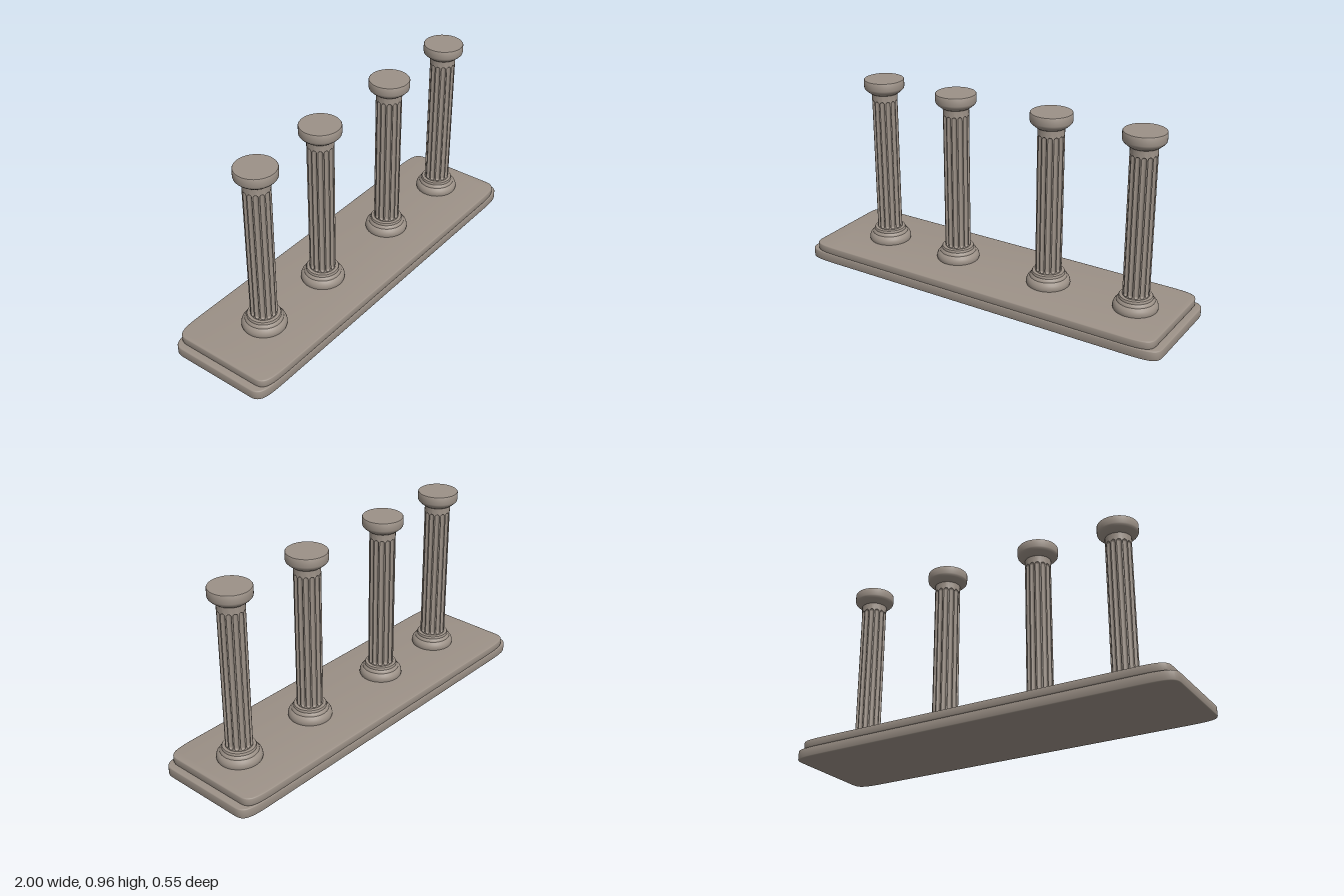
import * as THREE from 'three';
import { toCreasedNormals } from 'three/addons/utils/BufferGeometryUtils.js';

const stone = new THREE.MeshStandardMaterial({ color: 0x9c9187 });
stone.name = 'stone';

// Creases are found at a larger scale because vertices are matched on a coarse grid
function crease(geometry, angle = 0.6) {
  geometry.scale(100, 100, 100);
  return toCreasedNormals(geometry, angle).scale(0.01, 0.01, 0.01);
}

function part(name, geometry) {
  const mesh = new THREE.Mesh(geometry, stone);
  mesh.name = name;
  return mesh;
}

function lathe(points) {
  return crease(new THREE.LatheGeometry(points.map(([r, y]) => new THREE.Vector2(r, y)), 48));
}

// Slab with long soft corners and slightly eased edges
function slab(hx, hz, y0, y1) {
  const b = 0.005, x = hx - b, z = hz - b;
  const run = 0.17, cut = 0.06;
  const s = new THREE.Shape();
  s.moveTo(x, -z + cut);
  s.lineTo(x, z - cut);
  s.bezierCurveTo(x, z - 0.005, x - 0.04, z, x - run, z);
  s.lineTo(-x + run, z);
  s.bezierCurveTo(-x + 0.04, z, -x, z - 0.005, -x, z - cut);
  s.lineTo(-x, -z + cut);
  s.bezierCurveTo(-x, -z + 0.005, -x + 0.04, -z, -x + run, -z);
  s.lineTo(x - run, -z);
  s.bezierCurveTo(x - 0.04, -z, x, -z + 0.005, x, -z + cut);
  const g = new THREE.ExtrudeGeometry(s, {
    depth: y1 - y0 - 2 * b, bevelEnabled: true, bevelSize: b, bevelThickness: b,
    bevelSegments: 2, curveSegments: 12,
  });
  g.rotateX(-Math.PI / 2).translate(0, y0 + b, 0);
  return crease(g, 0.9);
}

// Shaft with round-ended flutes; each row gives a height and the flute half width there
function flutedShaft(R, y0, y1, fluteBottom, fluteTop) {
  const flutes = 14, pitch = (2 * Math.PI) / flutes, a = 0.0112;
  const rows = [[y0, 0]];
  const steps = 6;
  for (let i = 0; i <= steps; i++) {
    const p = (i / steps) * Math.PI / 2;
    rows.push([fluteBottom + a * (1 - Math.cos(p)), a * Math.sin(p)]);
  }
  for (let i = steps; i >= 0; i--) {
    const p = (i / steps) * Math.PI / 2;
    rows.push([fluteTop - a * (1 - Math.cos(p)), a * Math.sin(p)]);
  }
  rows.push([y1, 0]);

  const across = [-1, -0.85, -0.5, 0, 0.5, 0.85, 1];
  const ring = flutes * (across.length + 1);
  const pos = [], index = [];
  const put = (r, t, y) => pos.push(r * Math.sin(t), y, r * Math.cos(t));
  for (const [y, w] of rows) {
    for (let f = 0; f < flutes; f++) {
      const mid = f * pitch;
      put(R, mid - pitch / 2, y);
      for (const u of across) {
        put(R - 0.85 * w * Math.sqrt(1 - u * u), mid + (u * Math.max(w, 0.00005)) / R, y);
      }
    }
  }
  for (let j = 0; j < rows.length - 1; j++) {
    for (let i = 0; i < ring; i++) {
      const p = j * ring + i, q = j * ring + ((i + 1) % ring);
      index.push(p, q, q + ring, p, q + ring, p + ring);
    }
  }
  const g = new THREE.BufferGeometry();
  g.setAttribute('position', new THREE.Float32BufferAttribute(pos, 3));
  g.setIndex(index);
  // Turn so a ridge faces +x and -x
  g.rotateY(Math.PI / 2 + pitch / 2);
  return crease(g);
}

export function createModel() {
  const model = new THREE.Group();
  model.name = 'colonnade';

  // Stepped plinth
  model.add(part('lowerStep', slab(1, 0.273, 0, 0.049)));
  model.add(part('upperStep', slab(0.967, 0.273, 0.049, 0.089)));

  // Moulded column foot
  const foot = lathe([
    [0, 0.089], [0.106, 0.092], [0.108, 0.1], [0.107, 0.111], [0.103, 0.121], [0.096, 0.13],
    [0.091, 0.133], [0.09, 0.137], [0.086, 0.143], [0.081, 0.148], [0.081, 0.155],
    [0.078, 0.16], [0.066, 0.162], [0.06, 0.162],
  ]);
  const shaft = flutedShaft(0.064, 0.16, 0.897, 0.166, 0.86);
  // Bowl-shaped capital with a flat round top
  const capital = lathe([
    [0.06, 0.893], [0.067, 0.893], [0.074, 0.897], [0.083, 0.904], [0.092, 0.912],
    [0.098, 0.919], [0.1, 0.926], [0.1, 0.962], [0.098, 0.965], [0, 0.965],
  ]);

  for (const x of [-0.665, -0.232, 0.296, 0.763]) {
    const column = new THREE.Group();
    column.name = 'column';
    column.add(part('foot', foot), part('shaft', shaft), part('capital', capital));
    column.position.set(x, 0, 0.005);
    model.add(column);
  }
  return model;
}
